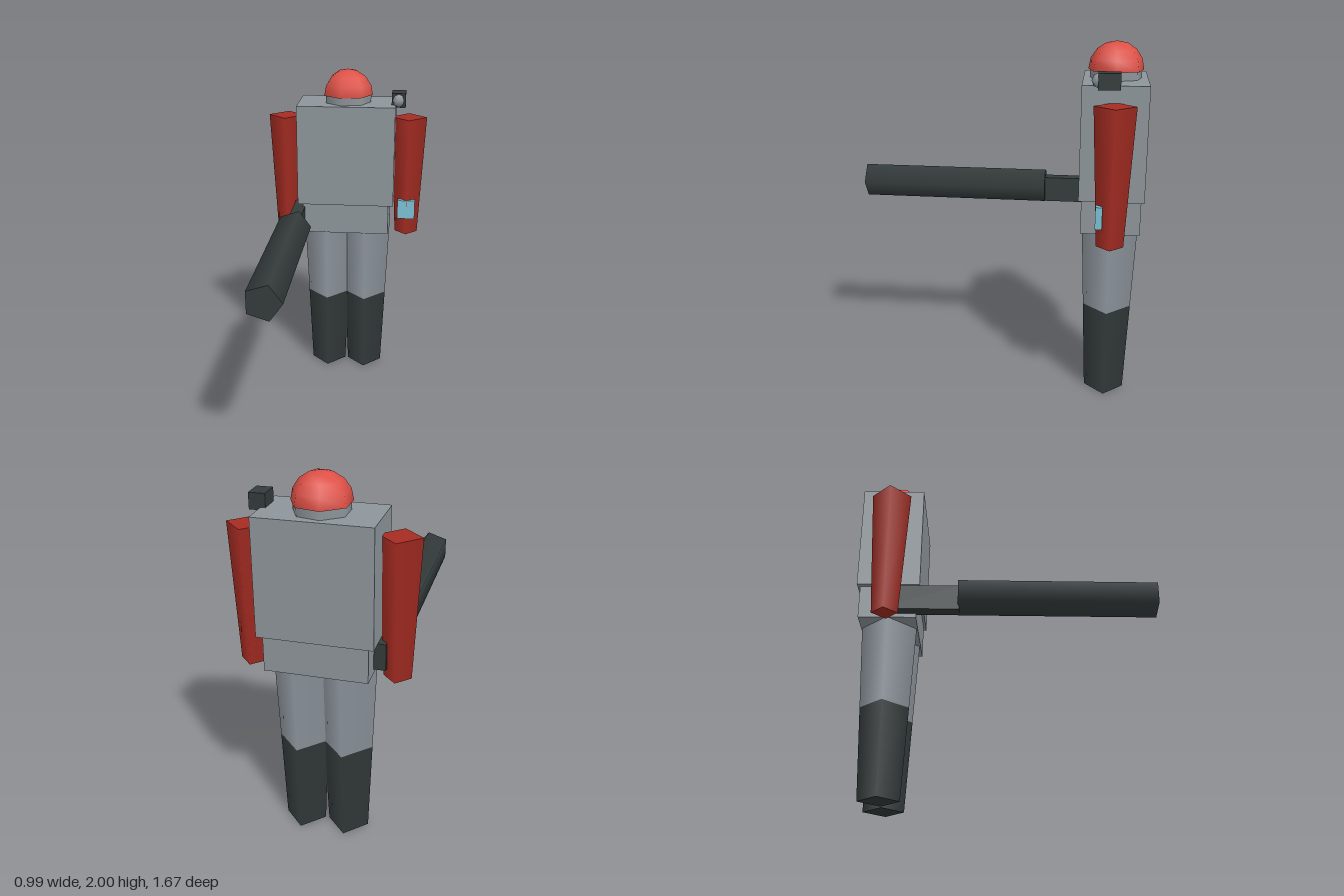
import * as THREE from 'three';

const mat = (name, color, extra = {}) => {
  const m = new THREE.MeshStandardMaterial({ color, ...extra });
  m.name = name;
  return m;
};

export function createModel() {
  const group = new THREE.Group();
  const grey = mat('armour grey', 0x8e969b);
  const cloth = mat('leg grey', 0x9199a1);
  const dark = mat('gunmetal', 0x343b3b);
  const red = mat('sleeve red', 0xa62c22);
  const helmetRed = mat('helmet red', 0xdd5046);
  const blue = mat('screen blue', 0x7cc2d6);
  const Z = -0.66; // body centre line, the long barrel reaches forward from here

  const add = (name, geometry, material, x, y, z) => {
    const m = new THREE.Mesh(geometry, material);
    m.name = name;
    m.position.set(x, y, z);
    group.add(m);
    return m;
  };
  const box = (w, h, d) => new THREE.BoxGeometry(w, h, d);

  // Body
  add('torso', box(0.6, 0.62, 0.35), grey, 0, 1.49, Z);
  add('hips', box(0.54, 0.19, 0.32), grey, 0, 1.085, Z);

  // Head: seven-sided collar under a half dome, one corner pointing to +x
  const collar = new THREE.CylinderGeometry(0.145, 0.145, 0.05, 7, 1, false, Math.PI / 2);
  add('collar', collar, grey, 0, 1.823, Z);
  const dome = new THREE.SphereGeometry(0.155, 7, 4, 0, Math.PI * 2, 0, Math.PI / 2);
  add('helmet', dome, helmetRed, 0, 1.845, Z).rotation.y = Math.PI;
  const rim = new THREE.CircleGeometry(0.155, 7).rotateX(Math.PI / 2);
  add('helmetUnderside', rim, helmetRed, 0, 1.845, Z);

  // Four-sided tapered limbs, mirrored
  for (const [side, s] of [['left', 1], ['right', -1]]) {
    add(side + 'Arm', new THREE.CylinderGeometry(0.11, 0.072, 0.75, 4), red, s * 0.383, 1.335, Z);
    add(side + 'Leg', new THREE.CylinderGeometry(0.158, 0.134, 0.555, 4), cloth, s * 0.122, 0.7925, Z);
    add(side + 'Boot', new THREE.CylinderGeometry(0.134, 0.112, 0.515, 4), dark, s * 0.122, 0.2575, Z);
  }

  // Wrist screen, the front edge of the arm just pokes through it
  add('wristScreen', box(0.11, 0.12, 0.037), blue, 0.381, 1.13, -0.597);

  // Shoulder lamp
  add('lampHousing', box(0.085, 0.085, 0.115), dark, 0.317, 1.828, -0.626);
  add('lampLens', new THREE.SphereGeometry(0.04, 5, 4), cloth, 0.317, 1.828, -0.572);

  // Hand-held cannon: flat stock and five-sided barrel
  add('cannonStock', box(0.075, 0.145, 0.45), dark, -0.295, 1.085, -0.485);
  const barrel = new THREE.CylinderGeometry(0.103, 0.103, 1.103, 5, 1, false, Math.PI / 2);
  barrel.rotateX(Math.PI / 2);
  add('cannonBarrel', barrel, dark, -0.293, 1.108, 0.2835);

  return group;
}
